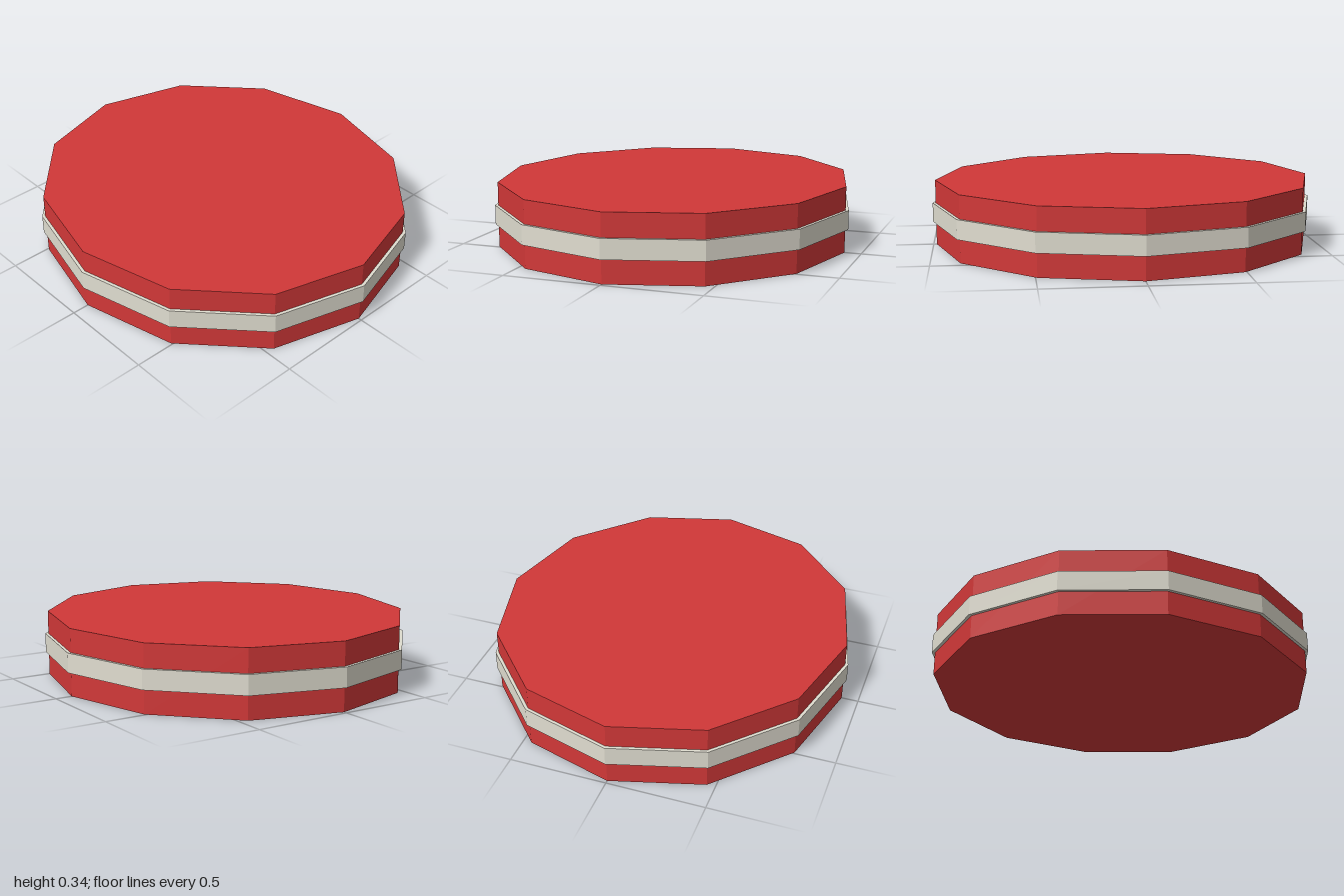
import * as THREE from 'three';

const SIDES = 12;

// Upright twelve-sided disc, slightly longer in z than in x
function ovalDisc(name, radiusX, radiusZ, bottom, top, material) {
  const geometry = new THREE.CylinderGeometry(1, 1, top - bottom, SIDES);
  geometry.scale(radiusX, 1, radiusZ);
  const mesh = new THREE.Mesh(geometry.toNonIndexed(), material);
  mesh.geometry.computeVertexNormals(); // flat facets
  mesh.position.y = (bottom + top) / 2;
  mesh.name = name;
  return mesh;
}

export function createModel() {
  const red = new THREE.MeshStandardMaterial({ color: 0xd13838 });
  red.name = 'red';
  const cream = new THREE.MeshStandardMaterial({ color: 0xe0ddd0 });
  cream.name = 'cream';

  const model = new THREE.Group();
  model.name = 'ovalCushion';
  model.add(
    ovalDisc('body', 0.914, 0.984, 0, 0.34, red),
    // Raised band around the middle of the rim
    ovalDisc('band', 0.93, 1, 0.12, 0.22, cream),
  );
  return model;
}
